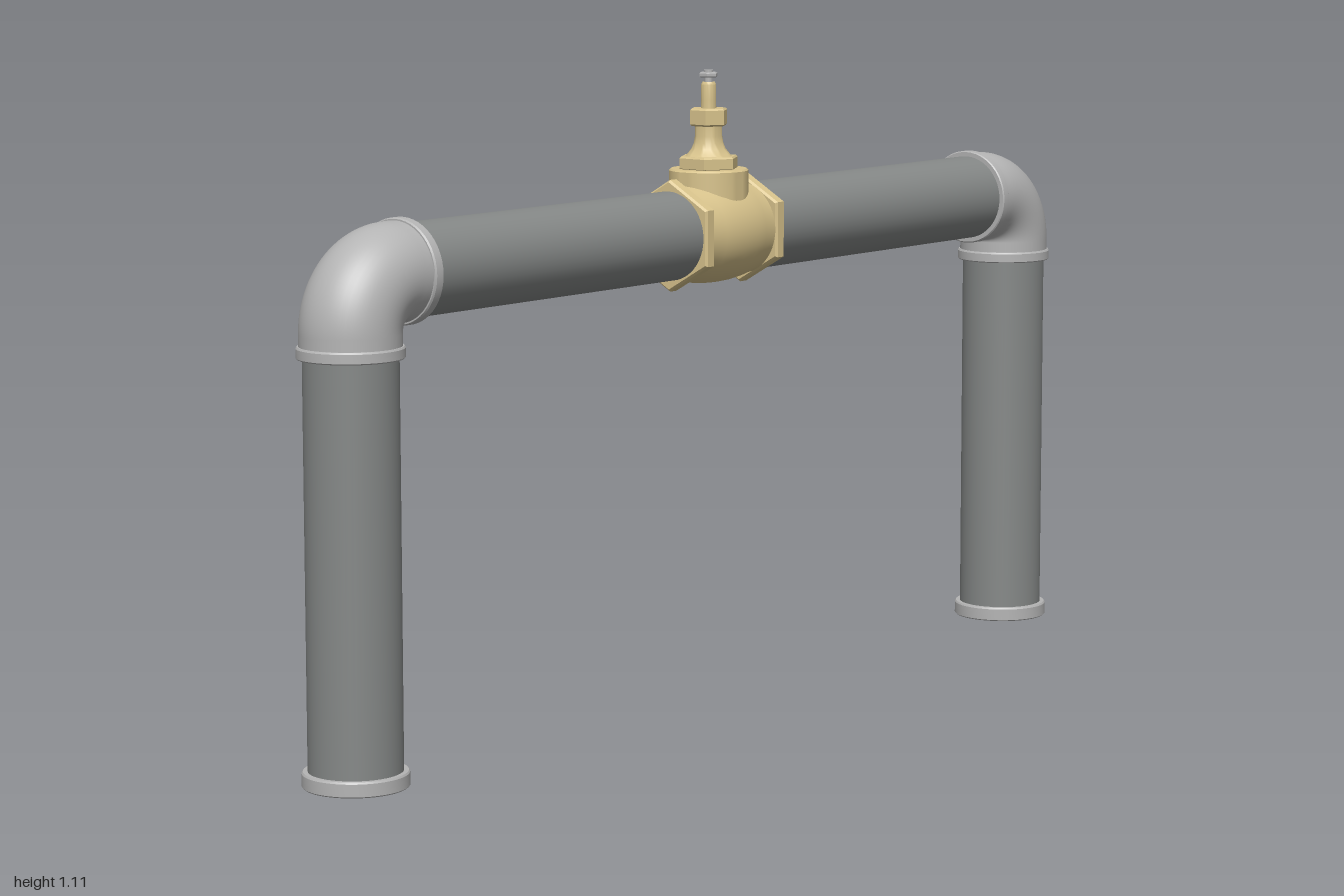
import * as THREE from 'three';
import { toCreasedNormals } from 'three/addons/utils/BufferGeometryUtils.js';

const steel = new THREE.MeshStandardMaterial({ color: 0x858887, side: THREE.DoubleSide });
const fitting = new THREE.MeshStandardMaterial({ color: 0xb4b4b4, side: THREE.DoubleSide });
const brass = new THREE.MeshStandardMaterial({ color: 0xd8c38c, side: THREE.DoubleSide });

const AXIS_Y = 0.829, LEG_Z = 0.912, PIPE_R = 0.078, BEND = 0.09, ELBOW_R = 0.0835;

function add(parent, name, geometry, material) {
  const mesh = new THREE.Mesh(geometry, material);
  mesh.name = name;
  parent.add(mesh);
  return mesh;
}

// Turned part from [radius, height] pairs, listed bottom to top on the outside
function turned(profile, sides = 48) {
  const points = profile.map(([r, y]) => new THREE.Vector2(r, y));
  return toCreasedNormals(new THREE.LatheGeometry(points, sides), 0.5);
}

// Hexagonal nut with chamfered top and bottom, corners along x
function hexNut(radius, y0, y1, chamfer = 0.003) {
  const r = radius - chamfer;
  return toCreasedNormals(new THREE.LatheGeometry([
    [0, y0], [r, y0], [radius, y0 + chamfer], [radius, y1 - chamfer], [r, y1], [0, y1],
  ].map(([a, b]) => new THREE.Vector2(a, b)), 6, Math.PI / 2), 0.2);
}

// Rounded lip ring, hollow in the middle
const lip = (height) => turned([
  [0.0775, 0], [0.086, 0], [0.088, 0.002], [0.088, height - 0.003],
  [0.086, height], [0.0775, height], [0.0775, 0],
]);

const sleeve = (length, radius) => new THREE.CylinderGeometry(radius, radius, length, 48, 1, true);

// Leg, foot ring and elbow at the +z end
function createEnd(name) {
  const end = new THREE.Group();
  end.name = name;
  const cy = AXIS_Y - BEND, cz = LEG_Z - BEND;

  add(end, 'leg', sleeve(0.72, PIPE_R), steel).position.set(0, 0.365, LEG_Z);
  add(end, 'footRing', lip(0.026), fitting).position.z = LEG_Z;

  const bend = new THREE.TorusGeometry(BEND, ELBOW_R, 48, 24, Math.PI / 2).rotateY(-Math.PI / 2);
  add(end, 'elbowBend', bend, fitting).position.set(0, cy, cz);

  add(end, 'elbowLowerSocket', sleeve(cy - 0.702, ELBOW_R), fitting).position.set(0, (cy + 0.702) / 2, LEG_Z);
  add(end, 'elbowLowerLip', lip(0.02), fitting).position.set(0, 0.7, LEG_Z);

  const socket = sleeve(cz - 0.787, ELBOW_R).rotateX(Math.PI / 2);
  add(end, 'elbowInnerSocket', socket, fitting).position.set(0, AXIS_Y, (cz + 0.787) / 2);
  add(end, 'elbowInnerLip', lip(0.02).rotateX(Math.PI / 2), fitting).position.set(0, AXIS_Y, 0.785);
  return end;
}

function createValve() {
  const valve = new THREE.Group();
  valve.name = 'valve';

  // Barrel-shaped body around the pipe
  const body = turned([
    [0.076, -0.09], [0.082, -0.088], [0.083, -0.075], [0.087, -0.055], [0.09, -0.03], [0.091, 0],
    [0.09, 0.03], [0.087, 0.055], [0.083, 0.075], [0.082, 0.088], [0.076, 0.09],
  ]).rotateX(Math.PI / 2);
  add(valve, 'valveBody', body, brass).position.y = AXIS_Y;

  // Hexagonal wrench collars, one corner upwards
  for (const side of [-1, 1]) {
    const collar = hexNut(0.098, -0.0125, 0.0125, 0.004).rotateY(Math.PI / 6).rotateX(Math.PI / 2);
    add(valve, 'endCollar', collar, brass).position.set(0, AXIS_Y, side * 0.0985);
  }

  // Upright neck, bonnet and packing nut
  add(valve, 'neck', turned([[0.07, 0.83], [0.07, 0.937], [0.067, 0.94], [0, 0.94]]), brass);
  add(valve, 'bonnetNut', hexNut(0.055, 0.938, 0.962), brass);
  add(valve, 'bonnet', turned([
    [0.043, 0.96], [0.037, 0.966], [0.03, 0.975], [0.026, 0.985], [0.024, 0.997], [0.024, 1.018],
  ]), brass);
  add(valve, 'packingNut', hexNut(0.035, 1.015, 1.046), brass);

  // Stem with the small screw on top
  add(valve, 'stem', turned([
    [0.014, 1.04], [0.013, 1.06], [0.013, 1.088], [0.011, 1.092], [0, 1.092],
  ], 24), brass);
  add(valve, 'stemScrew', turned([[0.007, 1.09], [0.007, 1.103]], 16), fitting);
  add(valve, 'screwHead', hexNut(0.017, 1.1, 1.109, 0.002), fitting);
  add(valve, 'screwTip', turned([[0.008, 1.107], [0.008, 1.113], [0, 1.113]], 16), fitting);
  return valve;
}

export function createModel() {
  const model = new THREE.Group();
  model.name = 'pipeWithValve';

  const pipe = sleeve(1.62, PIPE_R).rotateX(Math.PI / 2);
  add(model, 'crossPipe', pipe, steel).position.y = AXIS_Y;

  const back = createEnd('backEnd');
  back.rotation.y = Math.PI;
  model.add(createEnd('frontEnd'), back, createValve());
  return model;
}
